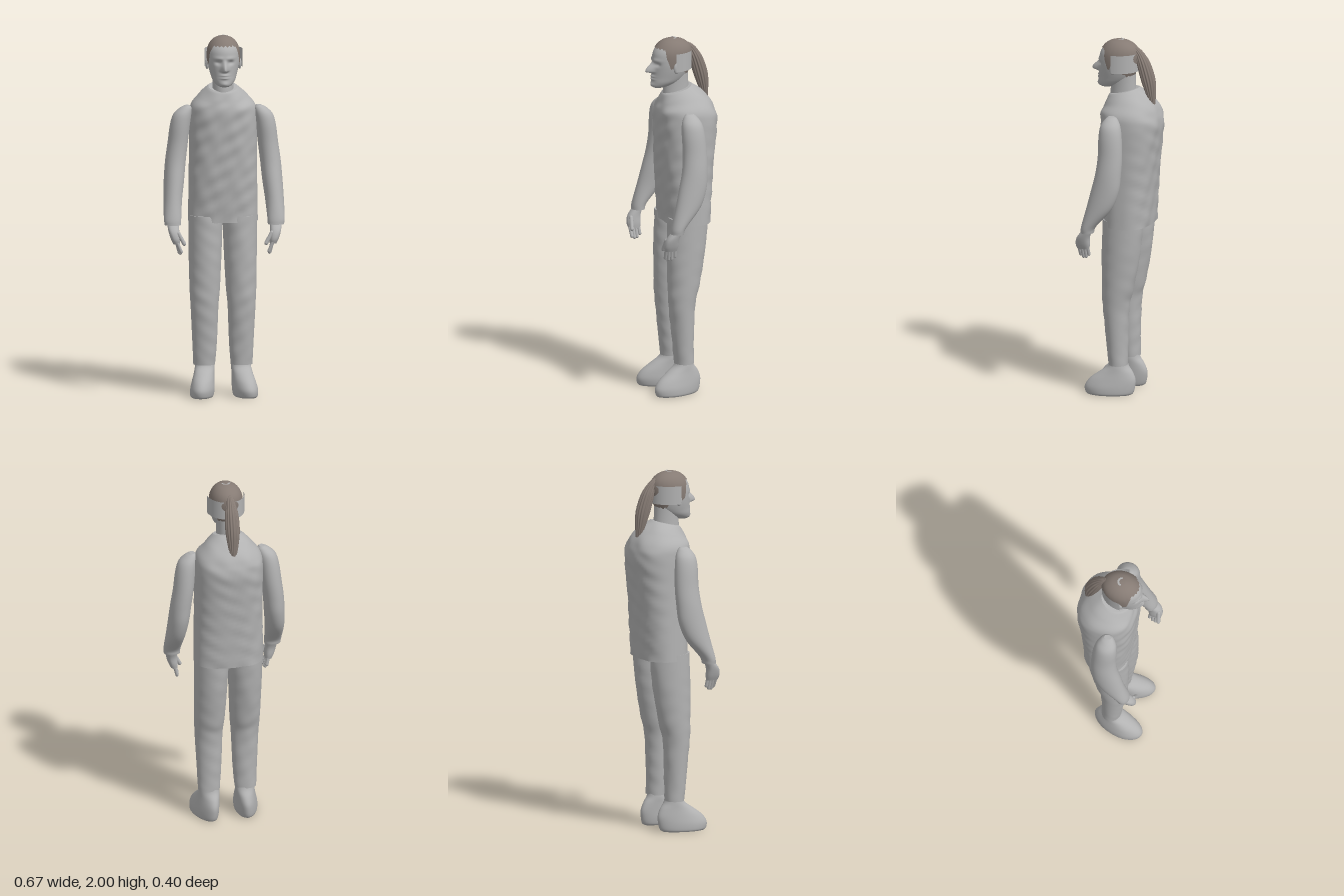
import * as THREE from 'three';

const body = new THREE.MeshStandardMaterial({ color: 0xb2b2b2, side: THREE.DoubleSide });
body.name = 'light grey';
const hairMat = new THREE.MeshStandardMaterial({ color: 0x867b74, side: THREE.DoubleSide });
hairMat.name = 'brown grey';

// Smooth profile through rows of [y, centreX, halfWidth, frontZ, backZ, squareness]
function profile(rows) {
  const spline = (f) => new THREE.CatmullRomCurve3(rows.map(f), false, 'catmullrom', 0.5);
  const a = spline((r) => new THREE.Vector3(r[1], r[0], r[2]));
  const b = spline((r) => new THREE.Vector3(r[3], r[4], r[5] ?? 2));
  const pow = (v, e) => Math.sign(v) * Math.abs(v) ** e;
  return (t, ang) => {
    const p = a.getPoint(t), q = b.getPoint(t), e = 2 / q.z;
    return new THREE.Vector3(
      p.x + p.z * pow(Math.sin(ang), e), p.y,
      (q.x + q.y) / 2 + ((q.x - q.y) / 2) * pow(Math.cos(ang), e));
  };
}

// Closed skin over a point function of height t and angle
function skin(fn, n, m, { bottom = true, top = true } = {}) {
  const pos = [], index = [];
  const row = (t) => {
    for (let i = 0; i < n; i++) pos.push(...fn(t, (i / n) * Math.PI * 2).toArray());
  };
  for (let j = 0; j <= m; j++) row(j / m);
  for (let j = 0; j < m; j++) {
    for (let i = 0; i < n; i++) {
      const a = j * n + i, b = j * n + ((i + 1) % n);
      index.push(a, b, b + n, a, b + n, a + n);
    }
  }
  const cap = (t, up) => {
    const s = pos.length / 3, c = new THREE.Vector3();
    row(t);
    for (let i = 0; i < n; i++) c.add(new THREE.Vector3().fromArray(pos, (s + i) * 3));
    pos.push(...c.divideScalar(n).toArray());
    for (let i = 0; i < n; i++) {
      const k = s + ((i + 1) % n);
      index.push(s + n, ...(up ? [s + i, k] : [k, s + i]));
    }
  };
  if (bottom) cap(0, false);
  if (top) cap(1, true);
  const g = new THREE.BufferGeometry();
  g.setAttribute('position', new THREE.Float32BufferAttribute(pos, 3));
  g.setIndex(index);
  g.computeVertexNormals();
  return g;
}

function add(parent, name, geometry, material = body) {
  const mesh = new THREE.Mesh(geometry, material);
  mesh.name = name;
  parent.add(mesh);
  return mesh;
}

// Capsule between two points
function finger(parent, name, from, to, r) {
  const a = new THREE.Vector3(...from), b = new THREE.Vector3(...to);
  const mesh = add(parent, name, new THREE.CapsuleGeometry(r, a.distanceTo(b), 5, 10));
  mesh.position.copy(a).add(b).multiplyScalar(0.5);
  mesh.quaternion.setFromUnitVectors(new THREE.Vector3(0, 1, 0), b.sub(a).normalize());
}

// Cloth creases
function wrinkle(p, amount) {
  const d = amount * (Math.sin(p.y * 43 + p.x * 21) * Math.sin(p.x * 37 - p.y * 17) + 0.5 * Math.sin(p.y * 71 - p.x * 50));
  p.z += d;
  return p;
}

function buildLimbs(side) {
  const g = new THREE.Group();
  const label = side > 0 ? 'left' : 'right';
  g.name = label + 'Limbs';

  const arm = profile([
    [0.962, 0.284, 0.045, 0.163, 0.09], [1.0, 0.285, 0.048, 0.158, 0.075],
    [1.1, 0.28, 0.052, 0.132, -0.01], [1.2, 0.271, 0.056, 0.108, -0.05],
    [1.3, 0.262, 0.057, 0.085, -0.06], [1.4, 0.249, 0.056, 0.075, -0.062],
    [1.5, 0.237, 0.055, 0.076, -0.055], [1.56, 0.224, 0.05, 0.07, -0.043],
    [1.595, 0.206, 0.034, 0.052, -0.022], [1.61, 0.197, 0.014, 0.035, -0.005]]);
  add(g, 'arm', skin(arm, 32, 54));

  const palm = profile([
    [0.862, 0.266, 0.019, 0.19, 0.122, 2.5], [0.89, 0.272, 0.026, 0.197, 0.117, 2.5],
    [0.93, 0.28, 0.03, 0.187, 0.115, 2.4], [0.97, 0.284, 0.032, 0.155, 0.1]]);
  add(g, 'palm', skin(palm, 20, 10));
  [0.82, 0.811, 0.813, 0.828].forEach((y, i) => {
    const z = 0.183 - i * 0.017;
    finger(g, 'finger', [0.264, 0.872, z], [0.242 + 0.004 * i, y, z - 0.004], 0.0095);
  });
  finger(g, 'thumb', [0.257, 0.922, 0.178], [0.226, 0.865, 0.185], 0.011);

  const leg = profile([
    [0.17, 0.103, 0.06, 0.065, -0.042], [0.3, 0.101, 0.068, 0.077, -0.042],
    [0.5, 0.102, 0.077, 0.097, -0.05], [0.6, 0.1, 0.084, 0.102, -0.073],
    [0.8, 0.097, 0.091, 0.105, -0.11], [1.0, 0.094, 0.095, 0.1, -0.13]]);
  add(g, 'trouserLeg', skin((t, a) => wrinkle(leg(t, a), 0.0015), 36, 50));

  // Foot, toes turned slightly outwards and heel narrower
  const foot = profile([
    [0, 0.115, 0.058, 0.18, -0.06], [0.012, 0.115, 0.064, 0.19, -0.075],
    [0.045, 0.113, 0.066, 0.193, -0.084], [0.085, 0.11, 0.062, 0.167, -0.086],
    [0.125, 0.106, 0.058, 0.115, -0.07], [0.16, 0.103, 0.056, 0.068, -0.045],
    [0.195, 0.102, 0.05, 0.055, -0.035]]);
  add(g, 'foot', skin((t, a) => {
    const p = foot(t, a);
    p.x = 0.112 + (p.x - 0.112) * (1 + 1.1 * Math.min(p.z - 0.05, 0.05)) + 0.13 * (p.z - 0.04);
    return p;
  }, 40, 28));
  g.scale.x = side;
  return g;
}

export function createModel() {
  const model = new THREE.Group();
  model.name = 'standingFigure';

  // Jacket body with sloping shoulders and a neckline lower in front
  const torso = profile([
    [0.965, 0.003, 0.192, 0.1, -0.155, 2.5], [1.2, 0.003, 0.188, 0.118, -0.17, 2.5],
    [1.4, 0.004, 0.187, 0.127, -0.188, 2.5], [1.54, 0.004, 0.187, 0.131, -0.202, 2.4],
    [1.605, 0.004, 0.178, 0.128, -0.185, 2.3], [1.655, 0.002, 0.137, 0.115, -0.14, 2.1],
    [1.7, 0, 0.094, 0.1, -0.085], [1.712, 0, 0.08, 0.09, -0.07]]);
  add(model, 'jacket', skin((t, a) => {
    const p = wrinkle(torso(t, a), 0.003);
    p.y -= 0.25 * (p.z - 0.01) * THREE.MathUtils.smoothstep(p.y, 1.58, 1.7);
    return p;
  }, 64, 70));

  for (const side of [1, -1]) model.add(buildLimbs(side));

  const neck = profile([
    [1.63, 0, 0.066, 0.09, -0.06], [1.69, 0, 0.059, 0.092, -0.056],
    [1.76, 0, 0.058, 0.085, -0.052], [1.82, 0, 0.06, 0.08, -0.05]]);
  add(model, 'neck', skin(neck, 32, 12));

  // Head with the face formed by soft bumps and hollows
  const skull = profile([
    [1.727, 0, 0.026, 0.15, 0.085], [1.737, 0, 0.043, 0.161, 0.05],
    [1.76, 0, 0.062, 0.161, 0.0], [1.79, 0, 0.073, 0.158, -0.035],
    [1.83, 0, 0.083, 0.156, -0.055], [1.87, 0, 0.088, 0.155, -0.066],
    [1.92, 0, 0.086, 0.149, -0.068], [1.955, 0, 0.073, 0.128, -0.055],
    [1.98, 0, 0.05, 0.1, -0.025], [1.992, 0, 0.022, 0.068, 0.01],
    [1.995, 0, 0.003, 0.046, 0.036]]);
  const bump = (v, c, w) => Math.exp(-(((v - c) / w) ** 2));
  add(model, 'head', skin((t, a) => {
    const p = skull(t, a);
    if (Math.cos(a) > 0) {
      const x = Math.abs(p.x), y = p.y;
      const bridge = THREE.MathUtils.smoothstep(1.885 - y, 0, 0.06) * THREE.MathUtils.smoothstep(y, 1.805, 1.82);
      p.z += 0.043 * bump(x, 0, 0.009 + 0.008 * bridge) * bridge
        - 0.013 * bump(x, 0.034, 0.017) * bump(y, 1.862, 0.012)
        + 0.006 * bump(x, 0.03, 0.03) * bump(y, 1.885, 0.01)
        + 0.008 * bump(x, 0, 0.022) * (bump(y, 1.792, 0.006) + bump(y, 1.777, 0.006))
        + 0.006 * bump(x, 0, 0.02) * bump(y, 1.745, 0.012);
    }
    return p;
  }, 96, 90));
  for (const side of [1, -1]) {
    const ear = add(model, 'ear', new THREE.SphereGeometry(1, 16, 12));
    ear.scale.set(0.01, 0.03, 0.017);
    ear.position.set(side * 0.09, 1.845, 0.05);
  }

  // Hair cap with a ragged hairline
  const centre = new THREE.Vector3(0, 1.87, 0.04);
  add(model, 'hairCap', skin((t, a) => {
    const c = Math.cos(a);
    const front = THREE.MathUtils.smoothstep(c, 0.25, 0.75);
    const line = 0.44 + 0.235 * front + 0.012 * Math.sin(a * 23) - 0.1 * THREE.MathUtils.smoothstep(-c, 0.2, 0.8);
    return skull(line + (1 - line) * t, a).sub(centre).multiplyScalar(1.04).add(centre);
  }, 96, 30, { bottom: false }), hairMat);

  // Small light patch on the crown
  const patch = add(model, 'crownPatch', new THREE.RingGeometry(0.016, 0.026, 20, 1, 0.1, Math.PI - 0.2));
  patch.rotation.x = -Math.PI / 2;
  patch.position.set(0, 1.9995, 0.042);

  // Band round the back of the head
  const band = add(model, 'headBand', new THREE.CylinderGeometry(1, 1, 0.102, 40, 1, true, Math.PI / 2, Math.PI));
  band.scale.set(0.104, 1, 0.125);
  band.position.set(0, 1.878, 0.055);

  // Ponytail with strands
  const tail = profile([
    [1.61, 0.004, 0.008, -0.148, -0.165], [1.68, 0.004, 0.024, -0.126, -0.169],
    [1.78, 0.003, 0.037, -0.09, -0.166], [1.87, 0.002, 0.035, -0.065, -0.138],
    [1.92, 0.001, 0.025, -0.05, -0.108], [1.95, 0, 0.018, -0.03, -0.08],
    [1.966, 0, 0.01, -0.025, -0.055]]);
  add(model, 'ponytail', skin((t, a) => {
    const p = tail(t, a), mid = tail(t, 0).add(tail(t, Math.PI)).multiplyScalar(0.5);
    return p.sub(mid).multiplyScalar(1 + 0.07 * Math.cos(14 * a)).add(mid);
  }, 84, 36), hairMat);

  return model;
}
